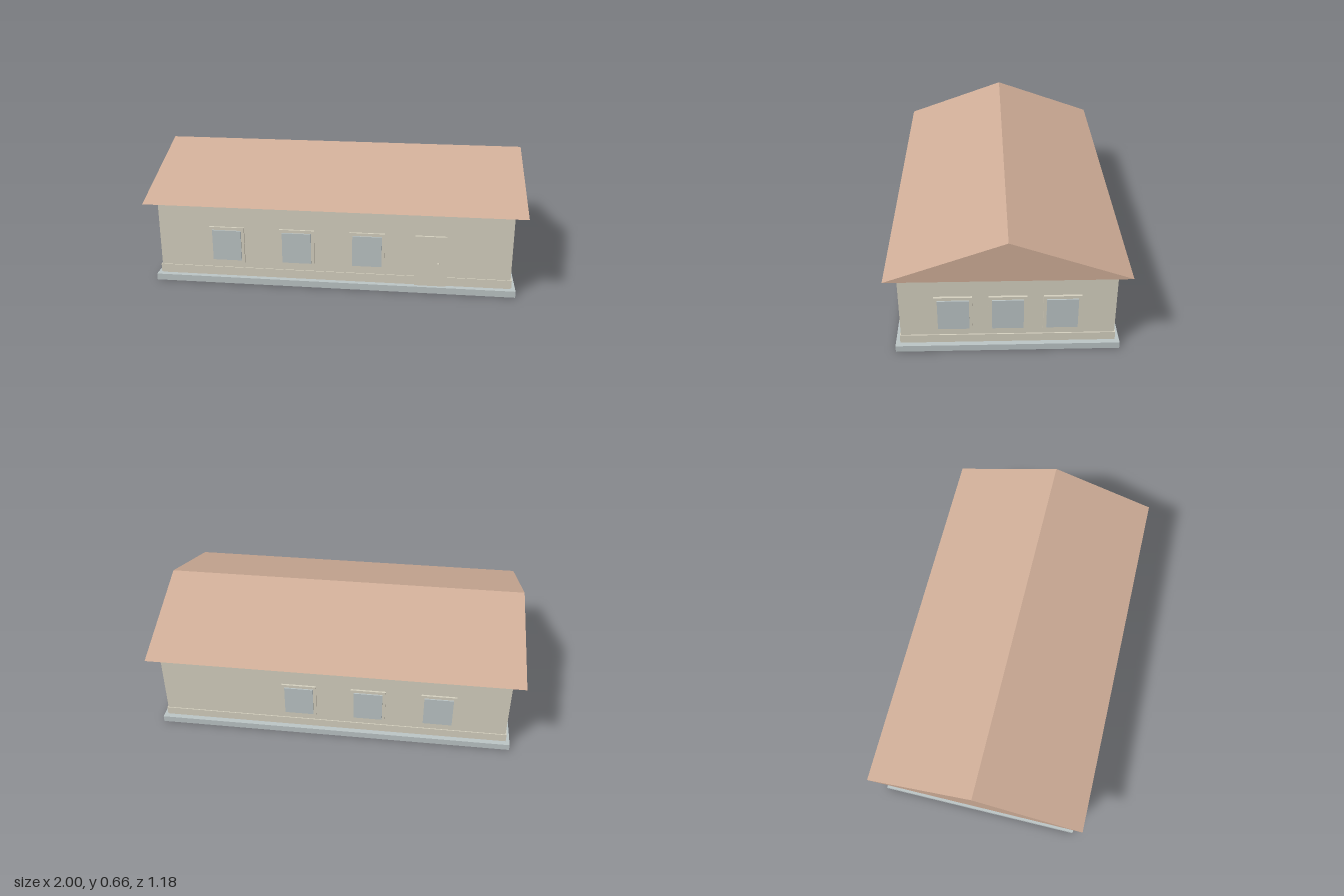
import * as THREE from 'three';

const mat = (name, color, side = THREE.FrontSide) => {
  const m = new THREE.MeshStandardMaterial({ color, side });
  m.name = name;
  return m;
};

export function createModel() {
  const house = new THREE.Group();
  house.name = 'house';
  const cream = mat('cream plaster', 0xd6d1c0);
  const grey = mat('blue grey', 0xbcc5c6);
  const clay = mat('clay roof', 0xd0ae98, THREE.DoubleSide);

  const add = (parent, name, geometry, material, x, y, z) => {
    const mesh = new THREE.Mesh(geometry, material);
    mesh.name = name;
    mesh.position.set(x, y, z);
    parent.add(mesh);
    return mesh;
  };
  // box given by width, bottom, top and depth
  const block = (parent, name, material, w, y0, y1, d, x = 0, z = 0) =>
    add(parent, name, new THREE.BoxGeometry(w, y1 - y0, d), material, x, (y0 + y1) / 2, z);

  block(house, 'foundation', grey, 1.93, 0, 0.035, 1.12);
  block(house, 'walls', cream, 1.876, 0.035, 0.45, 1.064);
  block(house, 'plinthBand', cream, 1.888, 0.04, 0.085, 1.074);

  // window facing +z: frame with a raised pane
  const addWindow = (name, x, z, turn) => {
    const win = new THREE.Group();
    win.name = name;
    block(win, 'windowFrame', cream, 0.187, 0.118, 0.318, 0.02);
    block(win, 'windowPane', grey, 0.155, 0.133, 0.302, 0.034);
    win.position.set(x, 0, z);
    win.rotation.y = turn;
    house.add(win);
  };
  for (const x of [-0.567, -0.19, 0.185]) {
    addWindow('frontWindow', x, 0.532, 0);
    addWindow('backWindow', x, -0.532, Math.PI);
  }
  for (const z of [-0.267, 0, 0.267]) {
    addWindow('leftWindow', 0.94, z, Math.PI / 2);
    addWindow('rightWindow', -0.94, z, -Math.PI / 2);
  }

  // door with handle
  block(house, 'door', cream, 0.165, 0.036, 0.316, 0.02, 0.519, 0.534);
  const knob = add(house, 'doorKnob', new THREE.CylinderGeometry(0.006, 0.006, 0.018, 12), cream, 0.56, 0.165, 0.551);
  knob.rotation.x = Math.PI / 2;

  // roof shell, open underneath: two slopes and two gables
  const roof = new THREE.Group();
  roof.name = 'roof';
  house.add(roof);
  const L = 1, D = 0.592, E = 0.45, R = 0.66;
  const face = (name, corners) => {
    const g = new THREE.BufferGeometry();
    g.setAttribute('position', new THREE.Float32BufferAttribute(corners.flat(), 3));
    g.setIndex(corners.length === 4 ? [0, 1, 2, 0, 2, 3] : [0, 1, 2]);
    g.computeVertexNormals();
    add(roof, name, g, clay, 0, 0, 0);
  };
  for (const s of [1, -1]) {
    face('roofSlope', [[-L * s, E, D * s], [L * s, E, D * s], [L * s, R, 0], [-L * s, R, 0]]);
    face('gable', [[L * s, E, D * s], [L * s, E, -D * s], [L * s, R, 0]]);
  }
  return house;
}
